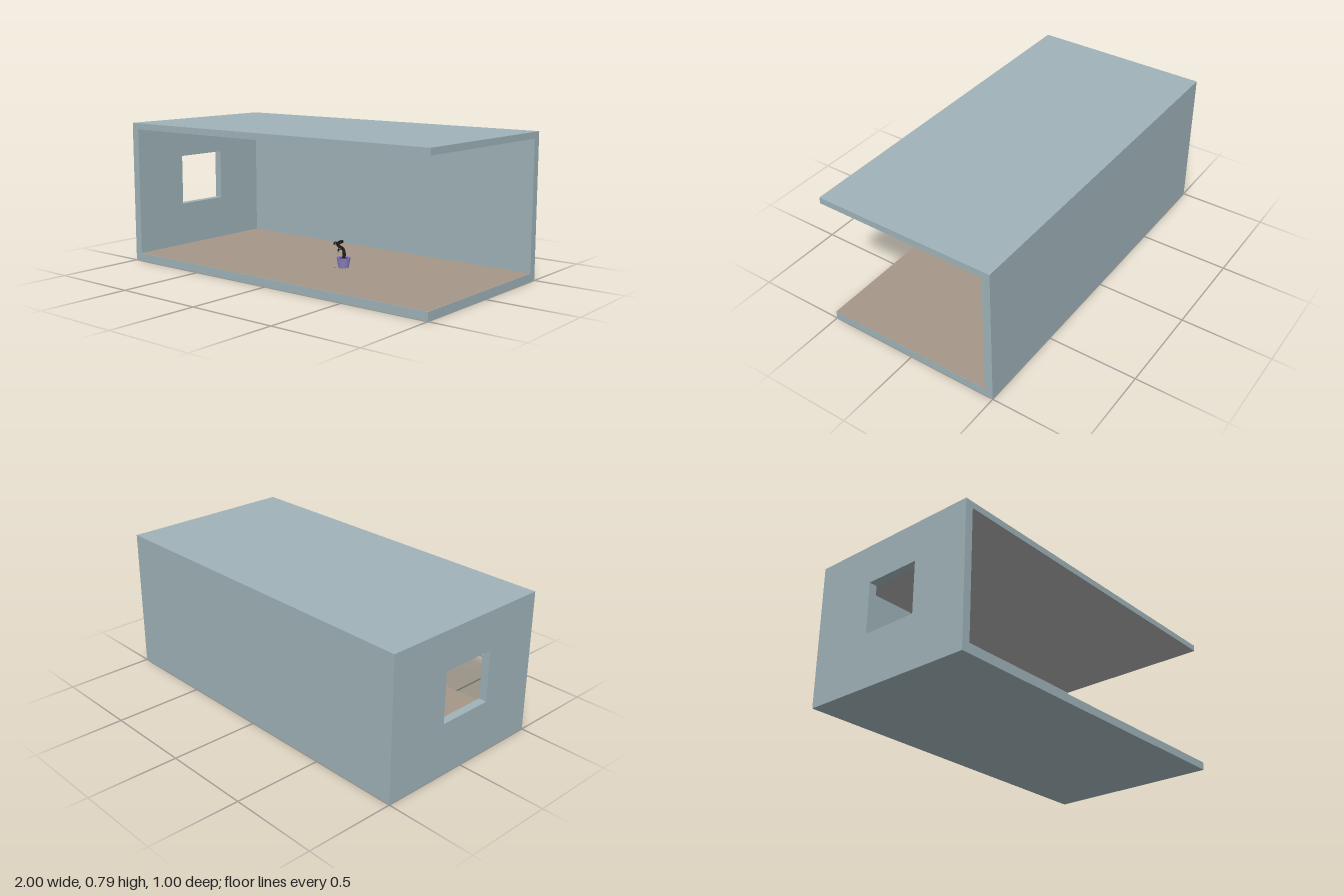
import * as THREE from 'three';

const W = 2, D = 1, H = 0.787;          // outer size
const T = 0.045, ROOF = 0.035;          // wall/floor and roof thickness

const mat = (color, extra = {}) => new THREE.MeshStandardMaterial({ color, ...extra });
const wallMat = mat(0x9fb3b9);

function add(parent, name, geometry, material, x = 0, y = 0, z = 0) {
  const mesh = new THREE.Mesh(geometry, material);
  mesh.name = name;
  mesh.position.set(x, y, z);
  parent.add(mesh);
  return mesh;
}

// Tube along a smooth curve whose radius shrinks from r0 to r1
function taperedTube(points, r0, r1, segments = 48, sides = 8) {
  const curve = new THREE.CatmullRomCurve3(points.map(p => new THREE.Vector3(...p)));
  const geo = new THREE.TubeGeometry(curve, segments, 1, sides);
  const pos = geo.attributes.position, v = new THREE.Vector3();
  for (let i = 0; i < pos.count; i++) {
    const t = Math.floor(i / (sides + 1)) / segments;
    const c = curve.getPointAt(t);
    v.fromBufferAttribute(pos, i).sub(c).multiplyScalar(r0 + (r1 - r0) * t).add(c);
    pos.setXYZ(i, v.x, v.y, v.z);
  }
  return geo;
}

function createRoom() {
  const room = new THREE.Group();
  room.name = 'room';
  const innerH = H - T - ROOF, midY = T + innerH / 2;

  add(room, 'floorSlab', new THREE.BoxGeometry(W, T, D), wallMat, 0, T / 2, 0);
  add(room, 'roofSlab', new THREE.BoxGeometry(W, ROOF, D), wallMat, 0, H - ROOF / 2, 0);
  add(room, 'backWall', new THREE.BoxGeometry(W - T, innerH, T), wallMat, T / 2, midY, -D / 2 + T / 2);

  // Side wall with a window, drawn in (z, y) and extruded towards -x
  const rect = (C, z0, y0, z1, y1) => new C([[z0, y0], [z1, y0], [z1, y1], [z0, y1]]
    .map(p => new THREE.Vector2(...p)));
  const side = rect(THREE.Shape, -D / 2, T, D / 2, H - ROOF);
  side.holes.push(rect(THREE.Path, -0.14, 0.29, 0.175, 0.573));
  const sideGeo = new THREE.ExtrudeGeometry(side, { depth: T, bevelEnabled: false });
  add(room, 'windowWall', sideGeo.rotateY(-Math.PI / 2), wallMat, -W / 2 + T);

  // Floor and ceiling finishes
  const finish = () => new THREE.PlaneGeometry(W - T, D - T);
  add(room, 'floorCovering', finish().rotateX(-Math.PI / 2), mat(0xa59788), T / 2, T + 0.001, T / 2);
  add(room, 'ceilingLining', finish().rotateX(Math.PI / 2), mat(0xaaaaaa), T / 2, H - ROOF - 0.001, T / 2);
  return room;
}

function createPlant() {
  const plant = new THREE.Group();
  plant.name = 'pottedPlant';

  // Tapered, hollow pot
  const profile = [[0, 0], [0.028, 0], [0.038, 0.055], [0.034, 0.055], [0.032, 0.046]]
    .map(p => new THREE.Vector2(...p));
  add(plant, 'pot', new THREE.LatheGeometry(profile, 24), mat(0x8f82c4, { side: THREE.DoubleSide, flatShading: true }));
  add(plant, 'soil', new THREE.CircleGeometry(0.033, 24).rotateX(-Math.PI / 2), mat(0x3a2c22), 0, 0.047, 0);

  // Crooked trunk and curling twigs
  const bark = mat(0x1f1d16);
  add(plant, 'trunk', taperedTube([
    [0, 0.045, 0], [0, 0.075, -0.005], [-0.008, 0.1, -0.003], [-0.025, 0.118, 0.016],
    [-0.026, 0.128, 0.02], [-0.006, 0.138, 0.008], [0.002, 0.144, 0.01],
    [0, 0.146, 0.035], [0, 0.14, 0.055]], 0.0095, 0.0045), bark);
  add(plant, 'curledTwig', taperedTube([
    [0, 0.14, 0.055], [0.004, 0.146, 0.067], [0.002, 0.15, 0.074], [-0.004, 0.143, 0.076],
    [-0.002, 0.137, 0.068], [0.006, 0.138, 0.054], [0.012, 0.126, 0.046],
    [0.016, 0.119, 0.058], [0.016, 0.108, 0.067], [0.012, 0.1, 0.06], [0.014, 0.11, 0.05]], 0.004, 0.002), bark);
  add(plant, 'thinTwig', taperedTube([
    [0.016, 0.108, 0.067], [0.018, 0.11, 0.05], [0.02, 0.104, 0.03], [0.018, 0.1, 0.022]], 0.002, 0.001, 16, 6), bark);

  // Small leaves hanging from the twigs and fallen beside the pot
  const leafMat = mat(0x2a2a22, { side: THREE.DoubleSide });
  const leaves = [[0.018, 0.096, 0.07, 1.0], [0.024, 0.1, 0.045, 0.4], [-0.006, 0.134, 0.078, 0.7],
    [0.022, 0.088, 0.04, 2.2], [0.015, 0.002, 0.042, 0], [-0.03, 0.002, 0.036, 0], [0.037, 0.002, -0.037, 0]];
  leaves.forEach(([x, y, z, tilt], i) => {
    const leaf = add(plant, 'leaf', new THREE.CircleGeometry(0.004, 6).scale(1, 0.5, 1).rotateX(-Math.PI / 2), leafMat, x, y, z);
    leaf.rotation.set(tilt, i * 1.3, 0);
  });

  plant.position.set(0.157, T + 0.001, 0.05);
  return plant;
}

export function createModel() {
  const model = new THREE.Group();
  model.name = 'roomWithPlant';
  model.add(createRoom(), createPlant());
  return model;
}
